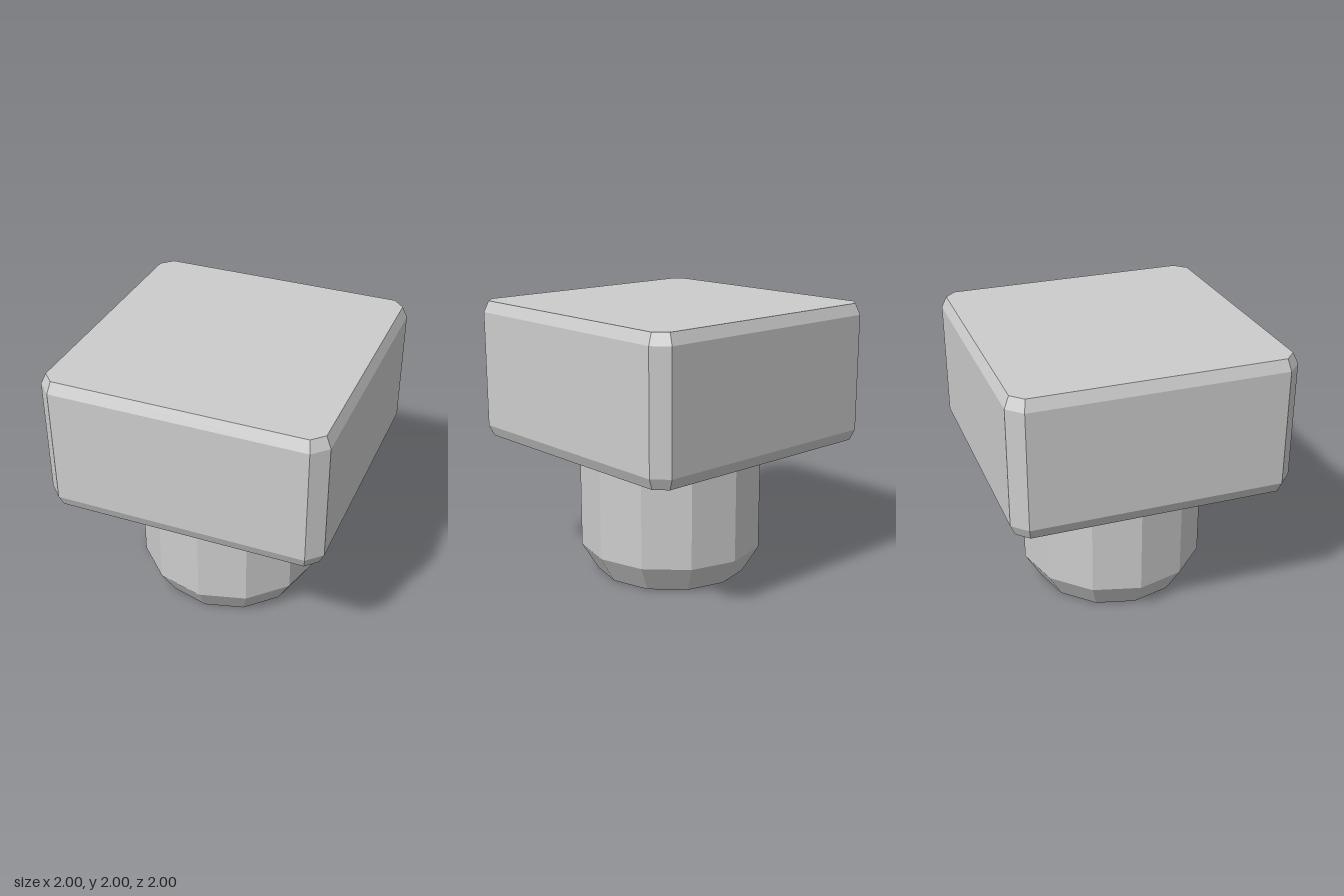
import * as THREE from 'three';

export function createModel() {
  const group = new THREE.Group();
  const gray = new THREE.MeshStandardMaterial({ name: 'light gray', color: 0xcccccc, flatShading: true });

  function add(name, geometry) {
    const mesh = new THREE.Mesh(geometry, gray);
    mesh.name = name;
    group.add(mesh);
  }

  // Square head with cut corners and bevelled rims
  const a = 0.965, b = 0.885;
  const outline = new THREE.Shape([
    [a, -b], [a, b], [b, a], [-b, a], [-a, b], [-a, -b], [-b, -a], [b, -a],
  ].map(([x, y]) => new THREE.Vector2(x, y)));
  const head = new THREE.ExtrudeGeometry(outline, {
    depth: 0.84, bevelEnabled: true, bevelSize: 0.035, bevelThickness: 0.08, bevelSegments: 1,
  });
  head.rotateX(-Math.PI / 2).translate(0, 1.08, 0);
  add('head', head);

  // Twelve-sided shank
  add('shank', new THREE.CylinderGeometry(0.68, 0.68, 0.8, 12, 1, true).translate(0, 0.6, 0));

  // Tapered tip, closed below
  const tip = new THREE.LatheGeometry([
    new THREE.Vector2(0, 0), new THREE.Vector2(0.56, 0), new THREE.Vector2(0.68, 0.2),
  ], 12);
  add('tip', tip);

  return group;
}
